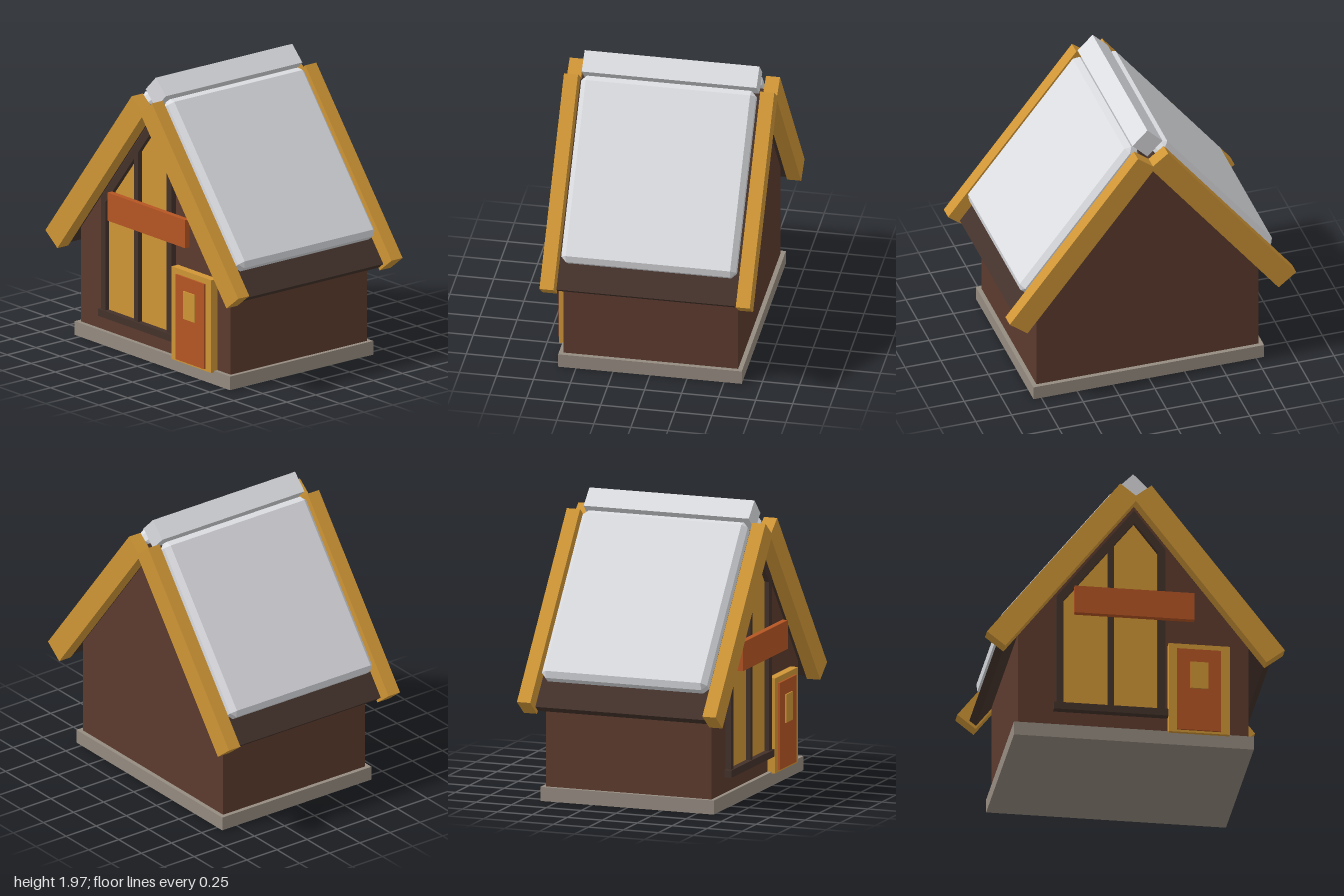
import * as THREE from 'three';
import { ConvexGeometry } from 'three/addons/geometries/ConvexGeometry.js';

const mat = (name, color) => {
  const m = new THREE.MeshStandardMaterial({ color });
  m.name = name;
  return m;
};

export function createModel() {
  const house = new THREE.Group();
  house.name = 'cabin';
  const wall = mat('brown wall', 0x5d3b2e);
  const dark = mat('dark timber', 0x44322b);
  const tan = mat('golden timber', 0xd09636);
  const orange = mat('orange paint', 0xb65523);
  const stone = mat('stone', 0x958b80);
  const pale = mat('pale roofing', 0xdcdde1);

  const add = (name, geo, material, parent = house) => {
    const mesh = new THREE.Mesh(geo, material);
    mesh.name = name;
    parent.add(mesh);
    return mesh;
  };
  // Box given by its extents
  const box = (name, material, x0, x1, y0, y1, z0, z1) => {
    const m = add(name, new THREE.BoxGeometry(x1 - x0, y1 - y0, z1 - z0), material);
    m.position.set((x0 + x1) / 2, (y0 + y1) / 2, (z0 + z1) / 2);
    return m;
  };
  const outline = (pts) => pts.map(([x, y]) => new THREE.Vector2(x, y));
  // Flat outline (with optional holes) extruded from z0 to z1
  const slab = (name, material, pts, z0, z1, holes = []) => {
    const shape = new THREE.Shape(outline(pts));
    holes.forEach((h) => shape.holes.push(new THREE.Path(outline(h))));
    const geo = new THREE.ExtrudeGeometry(shape, { depth: z1 - z0, bevelEnabled: false });
    return add(name, geo.translate(0, 0, z0), material);
  };
  // Box with all edges cut at 45 degrees
  const chamferBox = (w, h, d, b) => {
    const pts = [];
    for (const x of [-1, 1]) for (const y of [-1, 1]) for (const z of [-1, 1]) {
      for (let k = 0; k < 3; k++) {
        pts.push(new THREE.Vector3(
          x * (w / 2 - (k === 0 ? 0 : b)),
          y * (h / 2 - (k === 1 ? 0 : b)),
          z * (d / 2 - (k === 2 ? 0 : b))));
      }
    }
    return new ConvexGeometry(pts);
  };

  // Foundation and gabled body
  box('foundation', stone, -0.805, 0.805, 0, 0.095, -0.62, 0.62);
  slab('walls', wall,
    [[-0.775, 0.09], [0.775, 0.09], [0.775, 0.749], [0, 1.74], [-0.775, 0.749]], -0.59, 0.59);

  // Roof: u runs down the slope, v points out of it
  const angle = Math.atan2(1.145, 0.895);
  const u = new THREE.Vector2(Math.cos(angle), -Math.sin(angle));
  const v = new THREE.Vector2(Math.sin(angle), Math.cos(angle));
  // Places a part by the upper end of its outer edge, on one side of the ridge
  const onSlope = (name, geo, material, side, x, y, length, thick, z = 0) => {
    const m = add(name, geo, material);
    const cx = x + u.x * length / 2 - v.x * thick / 2;
    const cy = y + u.y * length / 2 - v.y * thick / 2;
    m.position.set(side * cx, cy, z);
    m.rotation.z = -side * angle;
    return m;
  };
  for (const side of [-1, 1]) {
    const s = side > 0 ? 'left' : 'right';
    onSlope(s + 'RoofDeck', new THREE.BoxGeometry(1.422, 0.057, 1.22), dark,
      side, 0.044, 1.78, 1.422, 0.057);
    // Thick bevelled roof panel
    const b = 0.035;
    onSlope(s + 'RoofPanel', chamferBox(1.256, 0.12, 1.18, b), pale,
      side, 0.15 - u.x * b, 1.835 - u.y * b, 1.256, 0.12);
    // Gable boards at front and back
    for (const end of [-1, 1]) {
      onSlope(s + (end > 0 ? 'Front' : 'Back') + 'GableBoard',
        new THREE.BoxGeometry(1.453, 0.157, 0.095), tan,
        side, 0.105, 1.845, 1.453, 0.157, end * 0.6625);
    }
  }
  const ridge = add('ridgeCap', new THREE.BoxGeometry(0.148, 0.148, 1.18), pale);
  ridge.position.y = 1.87;
  ridge.rotation.z = Math.PI / 4;

  // Tall gable window
  const leftPane = [[-0.475, 0.25], [-0.175, 0.25], [-0.175, 1.38], [-0.475, 1.0]];
  const rightPane = [[-0.135, 0.25], [0.16, 0.25], [0.16, 1.395], [0, 1.6], [-0.135, 1.43]];
  slab('windowFrame', dark,
    [[-0.52, 0.22], [0.21, 0.22], [0.21, 1.42], [0, 1.69], [-0.52, 1.03]],
    0.588, 0.63, [leftPane, rightPane]);
  slab('leftGlass', tan, leftPane, 0.588, 0.597);
  slab('rightGlass', tan, rightPane, 0.588, 0.597);
  box('windowSill', dark, -0.54, 0.23, 0.2, 0.25, 0.588, 0.64);

  // Sign board across the window
  box('signBoard', orange, -0.405, 0.4, 0.9, 1.095, 0.63, 0.67);

  // Door
  box('doorFrame', tan, 0.23, 0.64, 0.085, 0.73, 0.588, 0.645);
  box('door', orange, 0.285, 0.58, 0.1, 0.69, 0.6, 0.658);
  box('doorWindow', tan, 0.375, 0.492, 0.403, 0.595, 0.658, 0.667);

  return house;
}
